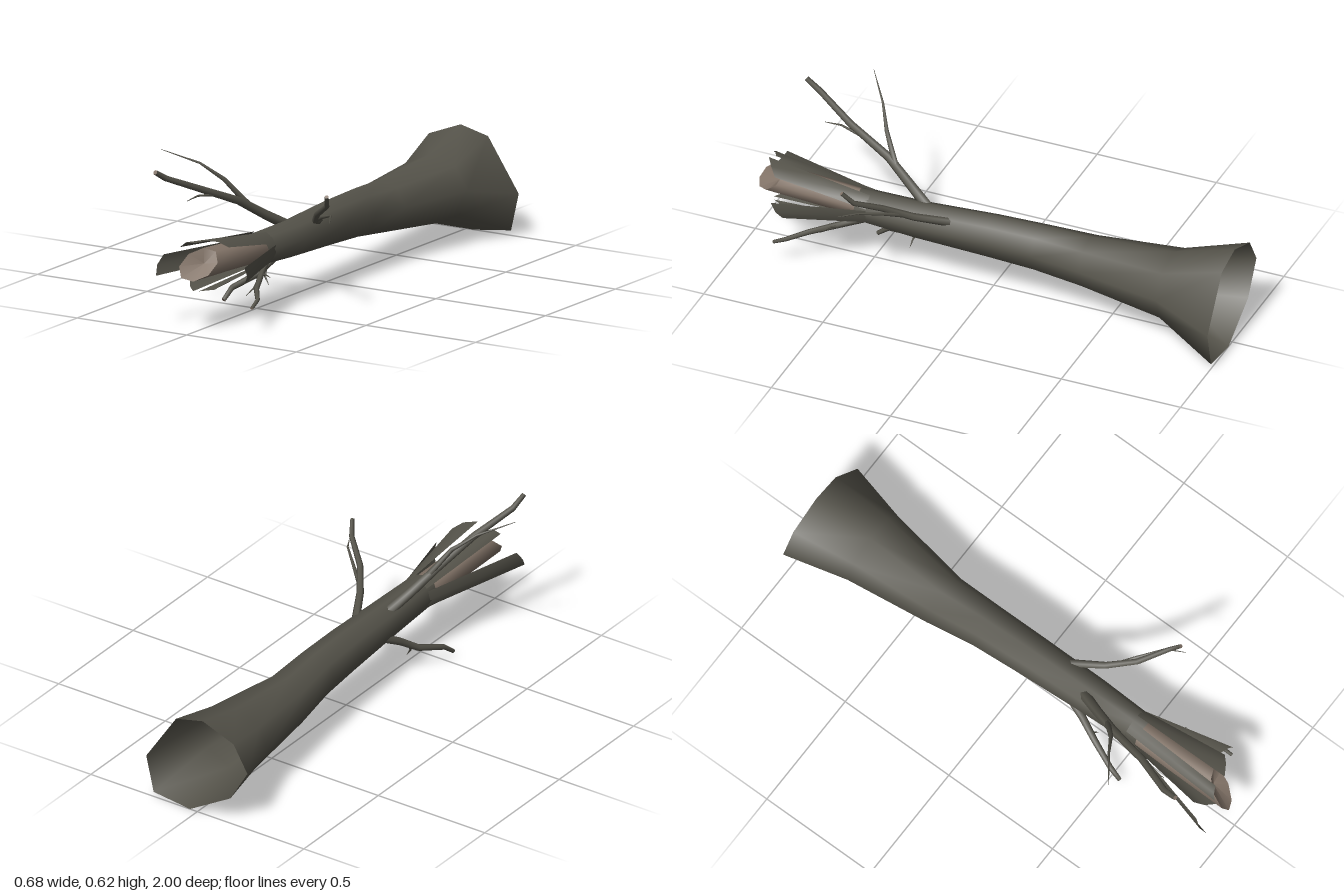
import * as THREE from 'three';

const bark = new THREE.MeshStandardMaterial({ color: 0x55534a, side: THREE.DoubleSide });
bark.name = 'bark';
const wood = new THREE.MeshStandardMaterial({ color: 0x85766a, side: THREE.DoubleSide });
wood.name = 'bare wood';

const V = (x, y, z) => new THREE.Vector3(x, y, z);

// Skin a list of equally long rows of points; closed rows wrap around
function loft(name, rows, material, closed = true) {
  const n = rows[0].length, index = [];
  for (let j = 0; j < rows.length - 1; j++) {
    for (let i = 0; i < (closed ? n : n - 1); i++) {
      const a = j * n + i, b = j * n + (i + 1) % n;
      index.push(a, b, a + n, b, b + n, a + n);
    }
  }
  const g = new THREE.BufferGeometry().setFromPoints(rows.flat());
  g.setIndex(index);
  g.computeVertexNormals();
  const mesh = new THREE.Mesh(g, material);
  mesh.name = name;
  return mesh;
}

// Point on an elliptical section given as [z, xMin, xMax, yMin, yMax]
function onSection([z, x0, x1, y0, y1], angle) {
  return V((x0 + x1) / 2 + Math.cos(angle) * (x1 - x0) / 2,
    (y0 + y1) / 2 + Math.sin(angle) * (y1 - y0) / 2, z);
}
const ringOf = (s, n = 8) => Array.from({ length: n }, (_, i) => onSection(s, (i / n) * Math.PI * 2 + 0.09));

// Tapered limb along a few points, with an optional bare broken end
function limb(name, pts, r0, r1, broken) {
  const group = new THREE.Group();
  group.name = name;
  const p = pts.map(a => V(...a)), last = p.length - 1;
  const q = new THREE.Quaternion();
  const rows = p.map((c, j) => {
    const t = p[Math.min(j + 1, last)].clone().sub(p[Math.max(j - 1, 0)]).normalize();
    q.setFromUnitVectors(V(0, 0, 1), t);
    const r = THREE.MathUtils.lerp(r0, r1, j / last);
    return Array.from({ length: 6 }, (_, i) => {
      const a = (i / 6) * Math.PI * 2;
      return V(Math.cos(a) * r, Math.sin(a) * r, 0).applyQuaternion(q).add(c);
    });
  });
  group.add(loft(name + 'Bark', rows, bark));
  if (broken) {
    const cap = new THREE.Mesh(new THREE.CircleGeometry(r1, 6), wood);
    cap.name = name + 'End';
    cap.position.copy(p[last]);
    cap.quaternion.copy(q);
    group.add(cap);
  }
  return group;
}

export function createModel() {
  const model = new THREE.Group();
  model.name = 'fallenTrunk';

  // Hollow trunk with an irregular flared root end
  const root = [[0.24, 0.17], [0.1, 0.38], [-0.025, 0.41], [-0.17, 0.355],
    [-0.235, 0.245], [-0.155, 0.11], [0.035, 0], [0.205, 0.02]].map(([x, y]) => V(x, y, -1));
  const end = [0.55, -0.045, 0.09, 0.18, 0.312];
  const sections = [
    [-0.75, -0.155, 0.165, 0.075, 0.345],
    [-0.4, -0.112, 0.105, 0.112, 0.32],
    [-0.2, -0.085, 0.1, 0.138, 0.328],
    [0, -0.072, 0.1, 0.15, 0.327],
    [0.3, -0.054, 0.1, 0.165, 0.313],
    end,
  ];
  model.add(loft('trunk', [root, ...sections.map(s => ringOf(s))], bark));

  // Bare core with a slanted, hollowed break
  const tip = ringOf([0.93, -0.05, 0.068, 0.208, 0.322]);
  tip.forEach((p, i) => { p.z += 0.065 * Math.cos((i - 5) * Math.PI / 4); });
  const core = [ringOf([0.45, -0.035, 0.08, 0.19, 0.3]), ringOf([0.72, -0.045, 0.072, 0.2, 0.312]), tip];
  model.add(loft('core', core, wood));
  model.add(loft('coreBreak', [tip, tip.map(() => V(0.01, 0.262, 0.89))], wood));

  // Bark splinters: start angle, end angle (degrees), the two tip corners
  const splinters = [
    [320, 375, [0.15, 0.185, 0.82], [0.175, 0.26, 0.86]],
    [20, 72, [0.11, 0.335, 0.87], [0.03, 0.365, 0.93]],
    [98, 140, [-0.015, 0.345, 0.92], [-0.062, 0.33, 0.95]],
    [150, 212, [-0.15, 0.285, 0.93], [-0.153, 0.21, 0.98]],
    [215, 262, [-0.075, 0.19, 0.86], [-0.015, 0.157, 0.93]],
    [266, 316, [0.005, 0.157, 0.92], [0.06, 0.175, 0.8]],
  ];
  splinters.forEach(([a0, a1, t0, t1], k) => {
    const rows = [0, 0.5, 1].map(f => [0, 0.5, 1].map(u => {
      const a = THREE.MathUtils.degToRad(THREE.MathUtils.lerp(a0, a1, u));
      const p = onSection([0.5, ...end.slice(1)], a);
      const t = V(...t0).lerp(V(...t1), u);
      const bow = 0.012 * f * (1 - Math.abs(2 * u - 1));
      t.x += Math.cos(a) * bow;
      t.y += Math.sin(a) * bow;
      return p.lerp(t, f);
    }));
    model.add(loft('splinter' + (k + 1), rows, bark, false));
  });

  // Upper right branch
  model.add(limb('upperRightBranch', [[0, 0.28, 0.27], [-0.045, 0.34, 0.37], [-0.09, 0.41, 0.48],
    [-0.14, 0.485, 0.66], [-0.21, 0.555, 0.82], [-0.22, 0.59, 0.88]], 0.022, 0.01, true));
  model.add(limb('upperRightFork', [[-0.07, 0.385, 0.44], [-0.14, 0.495, 0.51],
    [-0.22, 0.56, 0.56], [-0.34, 0.617, 0.65]], 0.013, 0.001));
  model.add(limb('upperRightTwig', [[-0.12, 0.455, 0.6], [-0.14, 0.47, 0.7], [-0.145, 0.463, 0.77]], 0.007, 0.001));

  // Upper left branch
  model.add(limb('upperLeftBranch', [[0.06, 0.285, 0.15], [0.13, 0.32, 0.28], [0.2, 0.375, 0.38],
    [0.295, 0.435, 0.46], [0.32, 0.485, 0.5]], 0.017, 0.008, true));
  model.add(limb('upperLeftFork', [[0.14, 0.327, 0.3], [0.21, 0.36, 0.36], [0.3, 0.395, 0.44],
    [0.34, 0.385, 0.51]], 0.01, 0.001));

  // Lower right branch
  model.add(limb('lowerRightBranch', [[-0.015, 0.21, 0.2], [-0.045, 0.155, 0.3], [-0.075, 0.1, 0.38],
    [-0.118, 0.065, 0.49], [-0.125, 0.025, 0.54]], 0.018, 0.009, true));
  model.add(limb('lowerRightTwig', [[-0.06, 0.125, 0.34], [-0.05, 0.09, 0.36], [-0.03, 0.06, 0.365]], 0.007, 0.001));

  // Lower left branch
  model.add(limb('lowerLeftBranch', [[0.06, 0.205, 0.52], [0.105, 0.165, 0.64], [0.14, 0.14, 0.72],
    [0.19, 0.12, 0.79], [0.195, 0.098, 0.84]], 0.014, 0.007, true));
  model.add(limb('lowerLeftTwig', [[0.1, 0.17, 0.61], [0.125, 0.178, 0.63], [0.158, 0.175, 0.65]], 0.006, 0.001));
  model.add(limb('lowerLeftSpur', [[0.09, 0.175, 0.6], [0.1, 0.13, 0.68], [0.105, 0.115, 0.74]], 0.006, 0.001));

  return model;
}
